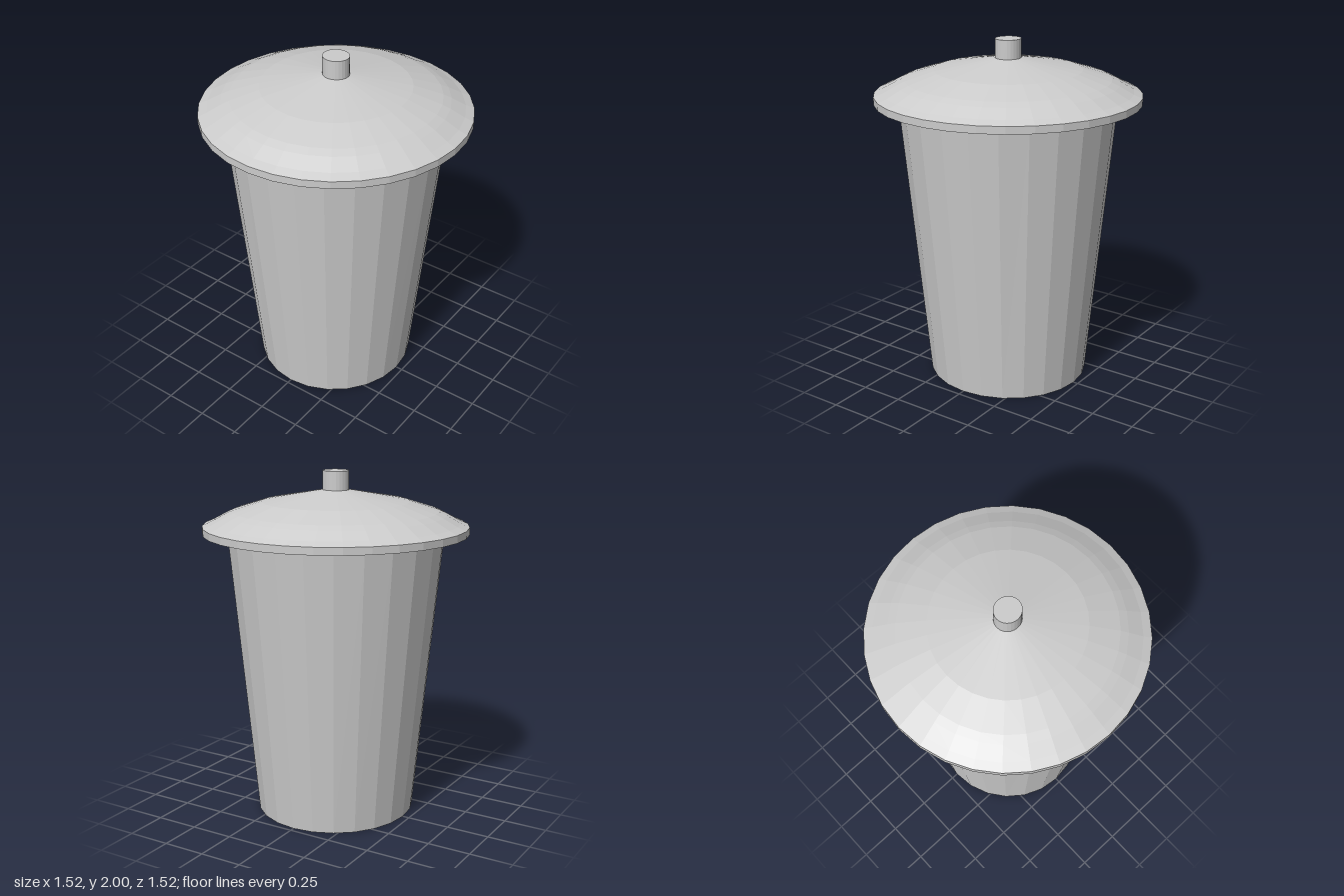
import * as THREE from 'three';

export function createModel() {
  const group = new THREE.Group();
  const material = new THREE.MeshStandardMaterial({ color: 0xcccccc, flatShading: true });

  function add(name, geometry, y = 0) {
    const mesh = new THREE.Mesh(geometry, material);
    mesh.name = name;
    mesh.position.y = y;
    group.add(mesh);
    return mesh;
  }

  // Tapered bin body, its base very slightly oval
  const bodyHeight = 1.63;
  const body = new THREE.CylinderGeometry(0.619, 0.46, bodyHeight, 24);
  const p = body.attributes.position;
  for (let i = 0; i < p.count; i++) {
    if (p.getY(i) < 0) p.setZ(i, p.getZ(i) * 1.025);
  }
  add('body', body, bodyHeight / 2);

  // Domed lid with a short upright rim and a flat underside
  const lidProfile = [
    [0, 1.65], [0.759, 1.65], [0.759, 1.692], [0.71, 1.713],
    [0.63, 1.756], [0.585, 1.776], [0.42, 1.828], [0.075, 1.892], [0, 1.897],
  ].map(([r, y]) => new THREE.Vector2(r, y));
  add('lid', new THREE.LatheGeometry(lidProfile, 32));

  // Knob on top of the lid
  const knob = add('knob', new THREE.CylinderGeometry(0.076, 0.076, 0.12, 24), 1.94);
  knob.scale.z = 0.96;

  return group;
}
